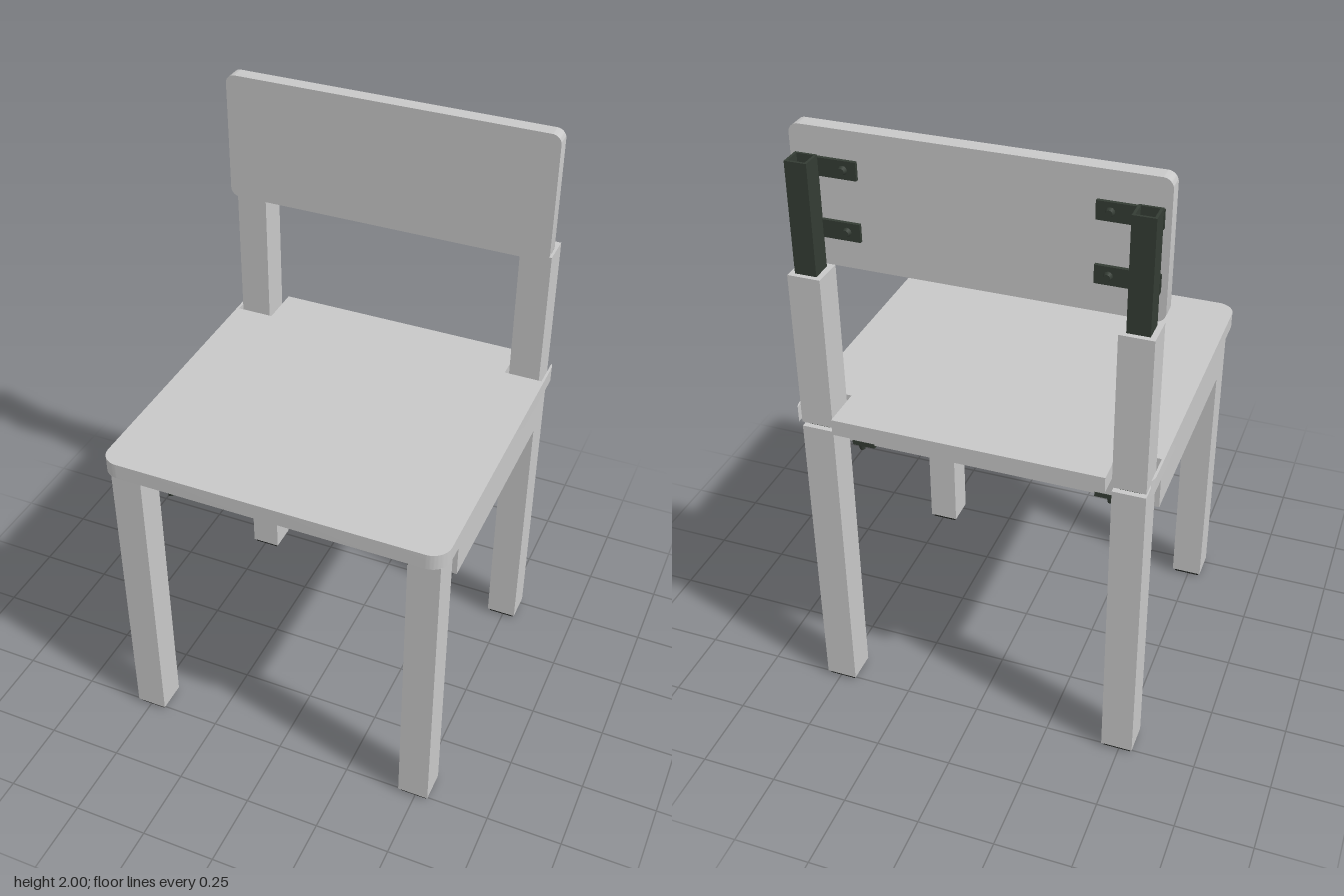
import * as THREE from 'three';
import { toCreasedNormals } from 'three/addons/utils/BufferGeometryUtils.js';

const mat = (name, color) => Object.assign(new THREE.MeshStandardMaterial({ color }), { name });

export function createModel() {
  const model = new THREE.Group();
  model.name = 'chair';
  const panel = mat('light grey panel', 0xc8c8c8);
  const steel = mat('dark steel', 0x343c34);
  const rubber = mat('black rubber', 0x222422);

  const add = (name, geo, material, x = 0, y = 0, z = 0) => {
    const mesh = new THREE.Mesh(geo, material);
    mesh.name = name;
    mesh.position.set(x, y, z);
    model.add(mesh);
    return mesh;
  };
  // Box given by its limits on each axis
  const box = (name, material, [x0, x1], [y0, y1], [z0, z1]) =>
    add(name, new THREE.BoxGeometry(Math.abs(x1 - x0), y1 - y0, Math.abs(z1 - z0)), material,
      (x0 + x1) / 2, (y0 + y1) / 2, (z0 + z1) / 2);
  const extrude = (shape, depth) => toCreasedNormals(
    new THREE.ExtrudeGeometry(shape, { depth, bevelEnabled: false, curveSegments: 8 }), 0.6);

  // Seat: rounded board with notches around the rear posts (shape y is -z)
  const r = 0.06, cx = 0.505, cz = 0.482, H = Math.PI / 2;
  const seat = new THREE.Shape();
  seat.moveTo(-0.43, 0.542);
  seat.lineTo(0.43, 0.542);
  seat.lineTo(0.43, 0.4);
  seat.lineTo(0.557, 0.4);
  seat.absarc(cx, cz, r, Math.PI / 6, 0, true);
  seat.absarc(cx, -cz, r, 0, -H, true);
  seat.absarc(-cx, -cz, r, -H, -2 * H, true);
  seat.absarc(-cx, cz, r, Math.PI, Math.PI * 5 / 6, true);
  seat.lineTo(-0.557, 0.4);
  seat.lineTo(-0.43, 0.4);
  seat.closePath();
  add('seat', extrude(seat, 0.053).rotateX(-H), panel, 0, 1.057, 0);

  // Backrest board
  const w = 0.548, h = 0.2125, q = 0.03;
  const back = new THREE.Shape();
  back.absarc(w - q, h - q, q, 0, H);
  back.absarc(-w + q, h - q, q, H, 2 * H);
  back.absarc(-w + q, -h + q, q, 2 * H, 3 * H);
  back.absarc(w - q, -h + q, q, 3 * H, 4 * H);
  back.closePath();
  add('backrest', extrude(back, 0.049), panel, 0, 1.7875, -0.42);

  // Hollow square tube profile for the backrest uprights
  const square = (s, Type) => new Type([[-s, -s], [s, -s], [s, s], [-s, s]]
    .map(([x, y]) => new THREE.Vector2(x, y)));
  const tube = square(0.034, THREE.Shape);
  tube.holes.push(square(0.026, THREE.Path));

  // Aprons and inner steel frame, front and rear
  for (const s of [1, -1]) {
    box('endApron', panel, [-0.51, 0.51], [0.94, 1.045], [s * 0.36, s * 0.405]);
    box('frameEndRail', steel, [-0.51, 0.51], [0.945, 1.04], [s * 0.325, s * 0.36]);
  }

  for (const s of [1, -1]) {
    const X = (a, b) => [s * a, s * b];
    // Side apron and steel side rail
    box('sideApron', panel, X(0.51, 0.56), [0.94, 1.045], [-0.407, 0.407]);
    box('frameSideRail', steel, X(0.475, 0.51), [0.945, 1.04], [-0.325, 0.325]);
    box('centreTab', steel, X(0.46, 0.5), [1.04, 1.057], [-0.01, 0.01]);

    for (const t of [1, -1]) {
      // Legs with rubber feet
      box('leg', panel, X(0.442, 0.545), [0.012, 1.045], [t * 0.41, t * 0.513]);
      box('foot', rubber, X(0.449, 0.538), [0, 0.012], [t * 0.417, t * 0.506]);
      // Seat fixing tab and corner plate with bolts
      box('seatTab', steel, X(0.385, 0.5), [1.04, 1.057], [t * 0.255, t * 0.365]);
      box('cornerPlate', steel, X(0.36, 0.435), [0.93, 0.945], [t * 0.305, t * 0.407]);
      for (const z of [0.325, 0.395])
        add('bolt', new THREE.CylinderGeometry(0.012, 0.009, 0.02, 12), steel, s * 0.408, 0.922, t * z);
    }

    // Rear post: steel stub, sleeve, hollow upright
    box('postStub', steel, X(0.46, 0.528), [1.04, 1.07], [-0.495, -0.427]);
    box('rearPost', panel, X(0.442, 0.545), [1.06, 1.57], [-0.513, -0.41]);
    add('upright', extrude(tube, 0.35).rotateX(-H), steel, s * 0.494, 1.57, -0.463);
    box('uprightFloor', steel, X(0.466, 0.522), [1.57, 1.58], [-0.491, -0.435]);

    // Backrest brackets with screws
    for (const y of [1.885, 1.695]) {
      box('backBracket', steel, X(0.345, 0.53), [y - 0.028, y + 0.028], [-0.431, -0.42]);
      add('screw', new THREE.CylinderGeometry(0.014, 0.01, 0.014, 12).rotateX(H), steel, s * 0.385, y, -0.437);
    }
  }
  return model;
}
